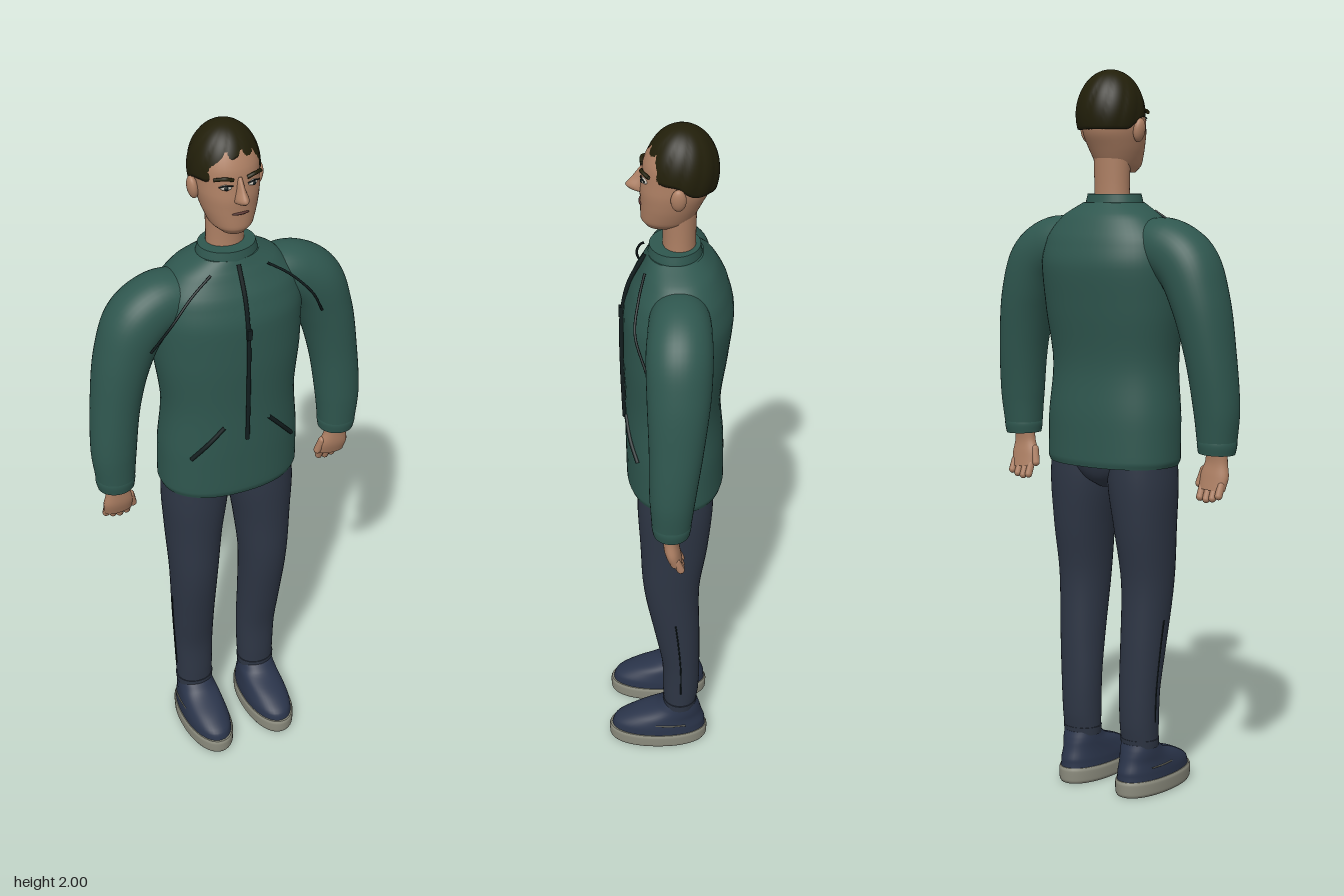
import * as THREE from 'three';
import { mergeVertices } from 'three/addons/utils/BufferGeometryUtils.js';

const material = (name, color, side = THREE.FrontSide) => {
  const m = new THREE.MeshStandardMaterial({ color, side });
  m.name = name;
  return m;
};

// Smooth closed body through sections [x, y, z, half width, half depth]
function loft(sections, power = 2, sides = 36, stepsPer = 5) {
  const path = new THREE.CatmullRomCurve3(sections.map(s => new THREE.Vector3(s[0], s[1], s[2])));
  const size = new THREE.CatmullRomCurve3(sections.map(s => new THREE.Vector3(s[3], s[4], 0)));
  const steps = (sections.length - 1) * stepsPer;
  const rings = [];
  for (let i = 0; i <= steps; i++) {
    const c = path.getPoint(i / steps), r = size.getPoint(i / steps);
    const t = path.getTangent(i / steps).setZ(0).normalize();
    const ring = [];
    for (let j = 0; j < sides; j++) {
      const a = j / sides * Math.PI * 2;
      const round = v => Math.sign(v) * Math.abs(v) ** (2 / power);
      const u = r.x * round(Math.cos(a)), w = r.y * round(Math.sin(a));
      ring.push([c.x + t.y * u, c.y - t.x * u, c.z + w]);
    }
    // End rings are doubled so the flat caps stay crisp
    const cap = Array(sides).fill([c.x, c.y, c.z]);
    if (i === 0) rings.push(cap, ring);
    rings.push(ring);
    if (i === steps) rings.push(ring, cap);
  }
  const index = [];
  for (let i = 0; i < rings.length - 1; i++) {
    for (let j = 0; j < sides; j++) {
      const k = (j + 1) % sides;
      const a = i * sides + j, b = i * sides + k, c = a + sides, d = b + sides;
      index.push(a, c, b, b, c, d);
    }
  }
  const g = new THREE.BufferGeometry();
  g.setAttribute('position', new THREE.Float32BufferAttribute(rings.flat(2), 3));
  g.setIndex(index);
  g.computeVertexNormals();
  return g;
}

// Swirled hair cap whose lower rim follows the hairline
function hairGeometry() {
  const rows = 24;
  const g = new THREE.SphereGeometry(1, 96, rows);
  const p = g.attributes.position, uv = g.attributes.uv;
  for (let i = 0; i < p.count; i++) {
    const az = uv.getX(i) * Math.PI * 2;
    const row = Math.round((1 - uv.getY(i)) * rows);
    const deg = Math.abs(Math.atan2(Math.sin(az), Math.cos(az))) * 180 / Math.PI;
    const rim = deg < 50 ? 1.937 - 0.064 * (deg / 50) ** 1.5
      : 1.873 - 0.033 * THREE.MathUtils.smoothstep(deg, 75, 115);
    const end = Math.acos((rim - 1.88) / 0.12);
    const polar = end * Math.min(row / (rows - 1), 1);
    const groove = Math.abs(Math.sin(az * 6 + polar * 2.2)) ** 0.5;
    const k = (row === rows ? 0.8 : 1) * (1 - 0.03 * (1 - groove) * Math.sin(polar));
    p.setXYZ(i, Math.sin(az) * Math.sin(polar) * 0.094 * k, 1.88 + Math.cos(polar) * 0.12,
      -0.037 + Math.cos(az) * Math.sin(polar) * 0.096 * k);
  }
  g.deleteAttribute('uv');
  g.deleteAttribute('normal');
  const merged = mergeVertices(g, 1e-5);
  merged.computeVertexNormals();
  return merged;
}

export function createModel() {
  const model = new THREE.Group();
  model.name = 'standingMan';
  const jacket = material('jacket green', 0x2f574f);
  const trousers = material('trouser navy', 0x2e3645);
  const shoe = material('shoe navy', 0x2a344a);
  const sole = material('sole grey', 0x8c8c7e);
  const skin = material('skin', 0xae8064);
  const hair = material('hair', 0x221f0a, THREE.DoubleSide);
  const trim = material('dark trim', 0x121d1e);
  const white = material('eye white', 0xc9c2b6);
  const lip = material('lip', 0x5a3530);

  const add = (name, geometry, mat) => {
    const mesh = new THREE.Mesh(geometry, mat);
    mesh.name = name;
    model.add(mesh);
    return mesh;
  };
  const ball = (name, mat, pos, scale) => {
    const mesh = add(name, new THREE.SphereGeometry(1, 20, 14), mat);
    mesh.position.set(...pos);
    mesh.scale.set(...scale);
    return mesh;
  };
  const cord = (name, mat, pts, r) => add(name, new THREE.TubeGeometry(
    new THREE.CatmullRomCurve3(pts.map(p => new THREE.Vector3(...p))), 28, r, 8), mat);

  // Jacket body, collar and zip
  add('jacketBody', loft([
    [0, 0.93, -0.023, 0.194, 0.13], [0, 0.95, -0.022, 0.2, 0.135], [0, 1.06, -0.02, 0.199, 0.135],
    [0, 1.2, -0.015, 0.188, 0.13], [0, 1.35, -0.022, 0.204, 0.141], [0, 1.47, -0.03, 0.21, 0.146],
    [0, 1.55, -0.032, 0.195, 0.127], [0, 1.61, -0.031, 0.145, 0.097], [0, 1.645, -0.022, 0.085, 0.072],
  ], 2.25, 56), jacket);
  add('collar', loft([
    [0, 1.625, -0.021, 0.086, 0.074], [0, 1.645, -0.02, 0.083, 0.071], [0, 1.668, -0.02, 0.077, 0.067],
  ]), jacket);
  cord('zip', trim, [[0, 1.635, 0.056], [0, 1.55, 0.1], [0, 1.45, 0.12], [0, 1.3, 0.122], [0, 1.12, 0.117]], 0.006);
  add('zipPull', new THREE.BoxGeometry(0.014, 0.03, 0.008), trim).position.set(0, 1.46, 0.125);

  // Seat of the trousers
  add('trouserSeat', loft([
    [0, 0.865, -0.025, 0.03, 0.05], [0, 0.89, -0.024, 0.09, 0.085],
    [0, 0.93, -0.022, 0.165, 0.105], [0, 0.99, -0.022, 0.175, 0.11],
  ]), trousers);

  // Head
  add('neck', loft([
    [0, 1.6, -0.03, 0.056, 0.047], [0, 1.68, -0.031, 0.051, 0.043], [0, 1.78, -0.03, 0.054, 0.046],
  ]), skin);
  add('head', loft([
    [0, 1.725, 0.01, 0.034, 0.044], [0, 1.745, 0.002, 0.056, 0.066], [0, 1.79, -0.01, 0.073, 0.079],
    [0, 1.84, -0.021, 0.083, 0.09], [0, 1.9, -0.026, 0.084, 0.088], [0, 1.95, -0.03, 0.068, 0.07],
    [0, 1.98, -0.033, 0.03, 0.03],
  ], 2.1, 44), skin);
  add('hair', hairGeometry(), hair);
  add('nose', loft([
    [0, 1.818, 0.064, 0.009, 0.012], [0, 1.827, 0.07, 0.018, 0.027], [0, 1.837, 0.075, 0.017, 0.031],
    [0, 1.858, 0.068, 0.011, 0.022], [0, 1.89, 0.058, 0.006, 0.008],
  ], 1.6, 20), skin);
  ball('mouth', lip, [0, 1.791, 0.067], [0.024, 0.004, 0.006]);

  for (const s of [1, -1]) {
    const side = s > 0 ? 'left' : 'right';
    const mirror = pts => pts.map(([x, ...rest]) => [x * s, ...rest]);

    // Face details
    ball(side + 'Ear', skin, [s * 0.09, 1.838, -0.028], [0.014, 0.032, 0.02]).rotation.z = -s * 0.15;
    ball(side + 'Eye', white, [s * 0.037, 1.866, 0.058], [0.015, 0.007, 0.008]).rotation.y = s * 0.4;
    ball(side + 'Pupil', trim, [s * 0.037, 1.866, 0.064], [0.006, 0.006, 0.004]);
    cord(side + 'Eyelid', trim, mirror([[0.02, 1.87, 0.066], [0.037, 1.875, 0.066], [0.055, 1.869, 0.056]]), 0.002);
    cord(side + 'Brow', hair, mirror([[0.019, 1.886, 0.064], [0.04, 1.893, 0.064], [0.064, 1.887, 0.046]]), 0.005);

    // Sleeve and cuff
    add(side + 'Sleeve', loft(mirror([
      [0.09, 1.535, -0.03, 0.06, 0.07], [0.185, 1.525, -0.032, 0.082, 0.082], [0.25, 1.484, -0.031, 0.085, 0.086],
      [0.293, 1.39, -0.03, 0.077, 0.083], [0.323, 1.25, -0.024, 0.067, 0.072],
      [0.338, 1.1, -0.014, 0.062, 0.061], [0.338, 1.015, -0.011, 0.054, 0.053],
    ]), 2.1, 40, 7), jacket);
    add(side + 'Cuff', loft(mirror([
      [0.338, 1.025, -0.011, 0.052, 0.051], [0.338, 1.008, -0.011, 0.055, 0.053], [0.337, 0.982, -0.011, 0.051, 0.049],
    ])), jacket);

    // Hand with curled fingers and thumb
    add(side + 'Hand', loft(mirror([
      [0.336, 1.0, -0.01, 0.03, 0.022], [0.335, 0.96, -0.008, 0.033, 0.02],
      [0.332, 0.92, -0.013, 0.043, 0.021], [0.33, 0.885, -0.022, 0.04, 0.018],
    ]), 2.2, 24), skin);
    for (let i = 0; i < 4; i++) {
      const finger = add(side + 'Finger', new THREE.CapsuleGeometry(0.0105, 0.03, 5, 10), skin);
      finger.position.set(s * (0.301 + i * 0.02), 0.877 + (i === 3 ? 0.008 : 0) - (i === 1 ? 0.004 : 0), -0.03);
      finger.rotation.x = 0.4;
    }
    const thumb = add(side + 'Thumb', new THREE.CapsuleGeometry(0.011, 0.04, 5, 10), skin);
    thumb.position.set(s * 0.292, 0.916, -0.015);
    thumb.rotation.set(0.2, 0, -s * 0.25);

    // Shoulder seam and slanted pocket
    cord(side + 'ShoulderSeam', trim, mirror([
      [0.08, 1.622, 0.058], [0.14, 1.58, 0.073], [0.2, 1.515, 0.082], [0.247, 1.43, 0.054]]), 0.0035);
    cord(side + 'Pocket', trim, mirror([[0.065, 1.172, 0.111], [0.11, 1.12, 0.1], [0.15, 1.07, 0.08]]), 0.006);

    // Trouser leg, its hem and side seam
    add(side + 'TrouserLeg', loft(mirror([
      [0.102, 0.135, -0.037, 0.053, 0.047], [0.102, 0.2, -0.04, 0.055, 0.053], [0.103, 0.3, -0.04, 0.058, 0.055],
      [0.107, 0.42, -0.029, 0.062, 0.065], [0.11, 0.6, -0.012, 0.069, 0.08], [0.107, 0.75, -0.019, 0.08, 0.095],
      [0.1, 0.89, -0.022, 0.092, 0.105], [0.096, 0.98, -0.022, 0.09, 0.105],
    ]), 2.1), trousers);
    add(side + 'TrouserHem', loft(mirror([
      [0.102, 0.135, -0.037, 0.055, 0.049], [0.102, 0.158, -0.038, 0.057, 0.051]])), trousers);
    cord(side + 'LegSeam', trim, mirror([
      [0.157, 0.21, -0.04], [0.161, 0.3, -0.04], [0.169, 0.42, -0.032], [0.175, 0.5, -0.024]]), 0.002);

    // Shoe
    add(side + 'ShoeSole', loft(mirror([
      [0.101, 0, 0.028, 0.066, 0.143], [0.101, 0.008, 0.028, 0.07, 0.147],
      [0.101, 0.035, 0.028, 0.071, 0.148], [0.101, 0.045, 0.028, 0.068, 0.145],
    ]), 2.15, 44), sole);
    add(side + 'ShoeUpper', loft(mirror([
      [0.101, 0.04, 0.027, 0.066, 0.142], [0.101, 0.066, 0.023, 0.064, 0.136], [0.101, 0.093, 0.004, 0.059, 0.108],
      [0.102, 0.122, -0.029, 0.054, 0.067], [0.102, 0.145, -0.038, 0.05, 0.05],
    ]), 2.15, 44), shoe);
    cord(side + 'ShoeStitch', sole, mirror([
      [0.158, 0.08, -0.055], [0.163, 0.08, -0.01], [0.161, 0.08, 0.035]]), 0.002);
  }
  return model;
}
